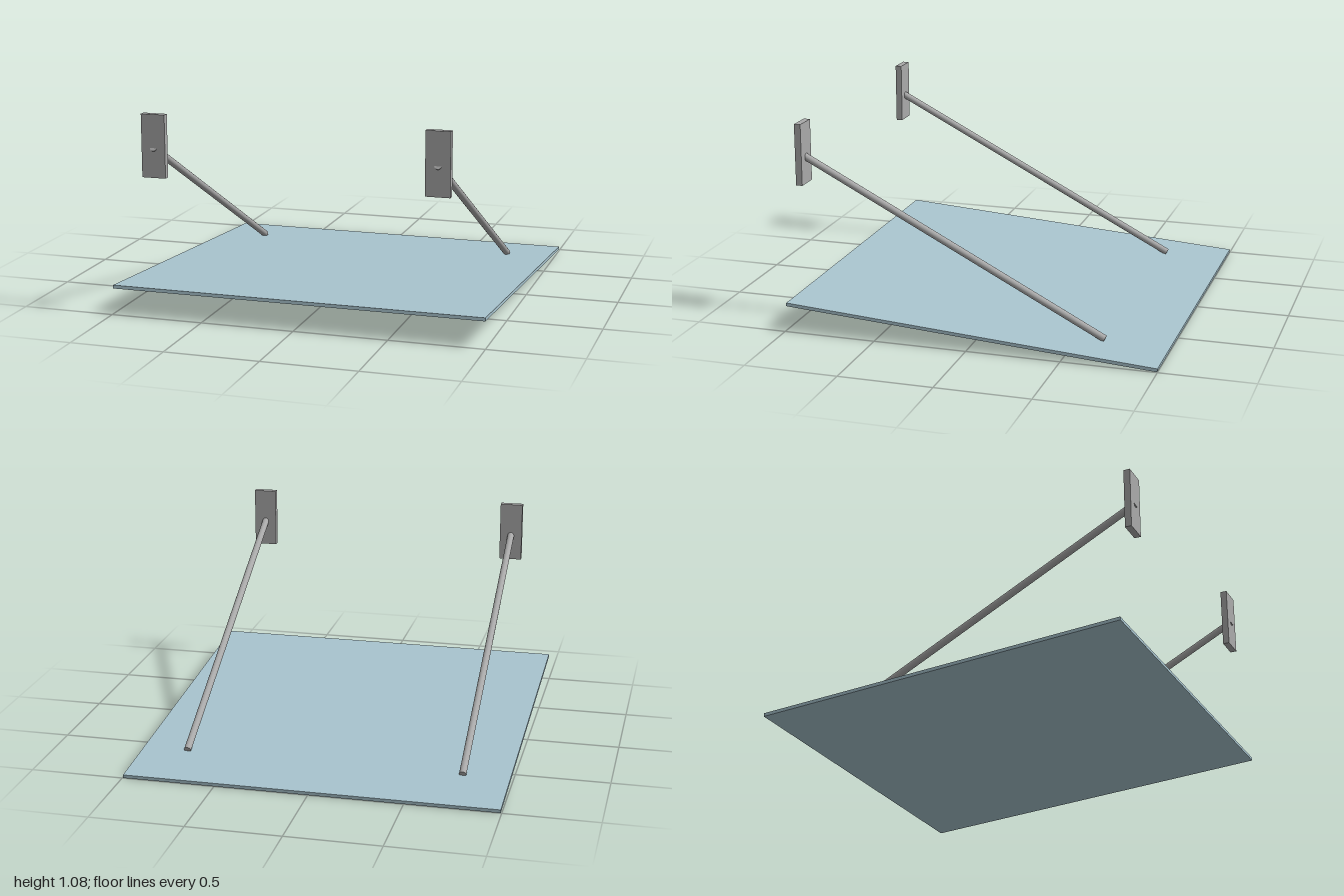
import * as THREE from 'three';

const glass = new THREE.MeshStandardMaterial({ name: 'pale blue glass', color: 0xa8c4ce });
const metal = new THREE.MeshStandardMaterial({ name: 'grey metal', color: 0xaaaaaa });

function add(group, name, geometry, material, x, y, z) {
  const mesh = new THREE.Mesh(geometry, material);
  mesh.name = name;
  mesh.position.set(x, y, z);
  group.add(mesh);
  return mesh;
}

export function createModel() {
  const canopy = new THREE.Group();
  canopy.name = 'canopy';

  // Sloping glass sheet, higher at the front
  const panel = add(canopy, 'glassPanel', new THREE.BoxGeometry(1.99, 0.018, 1.994), glass, 0, 0.08, -0.004);
  panel.rotation.x = -0.0705;

  // Rod ends, shared by both sides
  const low = new THREE.Vector3(0, 0.05, -0.669);
  const high = new THREE.Vector3(0, 0.907, 0.99);
  const axis = high.clone().sub(low);
  const middle = low.clone().add(high).multiplyScalar(0.5);
  const rodGeometry = new THREE.CylinderGeometry(0.019, 0.019, axis.length(), 24);
  const plateGeometry = new THREE.BoxGeometry(0.128, 0.33, 0.035);

  for (const side of [-1, 1]) {
    const support = new THREE.Group();
    support.name = side > 0 ? 'leftSupport' : 'rightSupport';
    support.position.x = side * 0.747;

    // Diagonal tie rod passing just through its wall plate
    const rod = add(support, 'tieRod', rodGeometry, metal, 0, middle.y, middle.z);
    rod.quaternion.setFromUnitVectors(new THREE.Vector3(0, 1, 0), axis.clone().normalize());

    add(support, 'wallPlate', plateGeometry, metal, 0, 0.914, 0.974);
    canopy.add(support);
  }
  return canopy;
}
